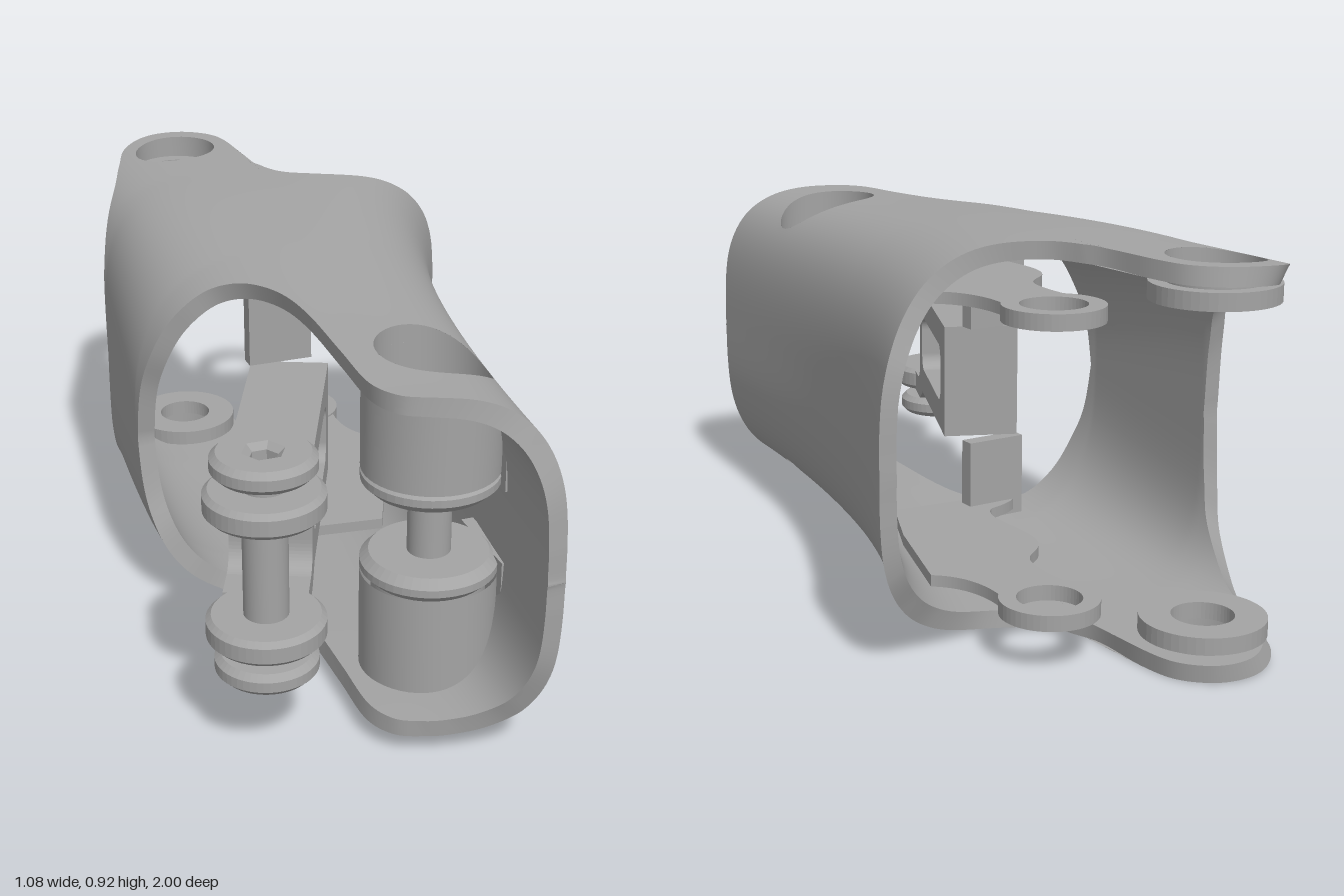
import * as THREE from 'three';
import { mergeGeometries, mergeVertices } from 'three/addons/utils/BufferGeometryUtils.js';

const YC = 0.4575; // mirror plane between upper and lower halves
const WALL = 0.042;
const clamp = THREE.MathUtils.clamp;
const HOLES = [[0, 0.63, 0.13], [-0.155, -0.84, 0.11]]; // x, z, radius

// Matching stations on the front and back rims: [frontX, frontZ, backX, backZ]
const STATIONS = [
  [-0.51, 0.02, -0.45, -0.52], [-0.503, 0.045, -0.447, -0.535], [-0.48, 0.075, -0.43, -0.57],
  [-0.42, 0.097, -0.37, -0.7], [-0.33, 0.12, -0.32, -0.83], [-0.26, 0.18, -0.28, -0.93],
  [-0.215, 0.28, -0.22, -0.985], [-0.2, 0.4, -0.15, -1], [-0.2, 0.6, -0.07, -0.975],
  [-0.2, 0.76, -0.015, -0.91], [-0.17, 0.83, 0, -0.82], [-0.1, 0.87, 0, -0.65],
  [-0.02, 0.895, 0.04, -0.54], [0.05, 0.92, 0.12, -0.485], [0.1, 0.95, 0.22, -0.47],
  [0.14, 0.985, 0.36, -0.505], [0.15, 0.995, 0.45, -0.55], [0.154, 0.999, 0.515, -0.592],
  [0.155, 1, 0.54, -0.605],
];

// Sleeve cross-section at depth z: centre, half width, half height, side exponents
function section(z, off) {
  const t = clamp((1 - z) / 1.6, 0, 1);
  const xr = 0.15 + 0.165 * t + 0.225 * t ** 3;
  const back = clamp(-z / 0.52, 0, 1);
  const xl = -0.51 + 0.06 * back;
  const h = 0.41 + 0.0475 * THREE.MathUtils.smoothstep(0.9 - z, 0, 1.4);
  return {
    c: (xl + xr) / 2, w: (xr - xl) / 2 - off, h: h - off,
    left: 2.8 + 1.4 * back, right: 3.5 - 0.4 * t,
  };
}
function heightAt(x, z, off) {
  const s = section(z, off), q = clamp((x - s.c) / s.w, -1, 1), n = q < 0 ? s.left : s.right;
  return s.h * (1 - Math.abs(q) ** n) ** (1 / n);
}
function angleAt(x, z) {
  const s = section(z, 0);
  return Math.atan2(heightAt(x, z, 0) / s.h, clamp((x - s.c) / s.w, -1, 1));
}
function pointAt(a, z, off) {
  const s = section(z, off), cs = Math.cos(a), sn = Math.sin(a), n = cs < 0 ? s.left : s.right;
  const r = (Math.abs(cs) ** n + Math.abs(sn) ** n) ** (-1 / n);
  return [s.c + s.w * r * cs, s.h * r * sn, z];
}

function buildGeometry(positions, index) {
  const g = new THREE.BufferGeometry();
  g.setAttribute('position', new THREE.Float32BufferAttribute(positions, 3));
  g.setIndex(index);
  return g;
}

const rim = (k) => new THREE.CatmullRomCurve3(
  STATIONS.map((s) => new THREE.Vector3(angleAt(s[k], s[k + 1]), s[k + 1], 0)), false, 'centripetal');
const FRONT = rim(0), BACK = rim(2);
const NS = 126, NT = 70;

// Grid point on the sleeve, i across and j from front to back
function gridPoint(i, j, off) {
  const f = FRONT.getPoint(i / NS), b = BACK.getPoint(i / NS), t = j / NT;
  return pointAt(clamp(f.x + (b.x - f.x) * t, 0, Math.PI), f.y + (b.y - f.y) * t, off);
}

// One skin of the sleeve half, with the round holes cut out
function skin(side, off) {
  const pos = [], idx = [], inside = [];
  for (let i = 0; i <= NS; i++) for (let j = 0; j <= NT; j++) {
    let [x, y, z] = gridPoint(i, j, off), hit = 0;
    HOLES.forEach(([hx, hz, r], k) => {
      const d = Math.hypot(x - hx, z - hz);
      if (d < r && d > 1e-6) {
        x = hx + (x - hx) * r / d;
        z = hz + (z - hz) * r / d;
        y = heightAt(x, z, off);
        hit = k + 1;
      }
    });
    inside.push(hit);
    pos.push(x, YC + side * y, z);
  }
  const flip = (side < 0) !== (off > 0);
  const tri = (a, b, c) => {
    if (inside[a] && inside[b] && inside[c]) return;
    idx.push(a, flip ? c : b, flip ? b : c);
  };
  for (let i = 0; i < NS; i++) for (let j = 0; j < NT; j++) {
    const a = i * (NT + 1) + j, b = a + NT + 1;
    tri(a, b, b + 1);
    tri(a, b + 1, a + 1);
  }
  return buildGeometry(pos, idx);
}

// Strip joining outer and inner skin along a rim
function rimStrip(side, j) {
  const pos = [], idx = [];
  for (let i = 0; i <= NS; i++) for (const off of [0, WALL]) {
    const [x, y, z] = gridPoint(i, j, off);
    pos.push(x, YC + side * y, z);
  }
  const flip = (side < 0) !== (j > 0);
  for (let i = 0; i < NS; i++) {
    const a = i * 2;
    if (flip) idx.push(a, a + 2, a + 1, a + 1, a + 2, a + 3);
    else idx.push(a, a + 1, a + 2, a + 1, a + 3, a + 2);
  }
  return buildGeometry(pos, idx);
}
function joined(parts) {
  const g = mergeVertices(mergeGeometries(parts), 1e-4);
  g.computeVertexNormals();
  return g;
}

// Round wall from a flat floor up to the sleeve surface
function roundWall(side, [hx, hz, r], floor, off) {
  const pos = [], idx = [], n = 48;
  for (let i = 0; i <= n; i++) {
    const a = i / n * Math.PI * 2, x = hx + r * Math.cos(a), z = hz + r * Math.sin(a);
    pos.push(x, YC + side * floor, z, x, YC + side * heightAt(x, z, off), z);
    if (i < n) {
      const k = i * 2;
      if (side > 0) idx.push(k, k + 2, k + 1, k + 1, k + 2, k + 3);
      else idx.push(k, k + 1, k + 2, k + 1, k + 3, k + 2);
    }
  }
  const g = buildGeometry(pos, idx);
  g.computeVertexNormals();
  return g;
}

// Flat part drawn in plan (x, z), between two heights measured from the mirror plane
function plate(shape, y0, y1, bevel = 0) {
  const g = new THREE.ExtrudeGeometry(shape, {
    depth: y1 - y0 - 2 * bevel, bevelEnabled: bevel > 0, bevelSize: bevel,
    bevelThickness: bevel, bevelOffset: -bevel, bevelSegments: 1, curveSegments: 24,
  });
  return g.rotateX(Math.PI / 2).translate(0, YC + y1 - bevel, 0);
}
function disc(x, z, r, hole, sides) {
  const s = new THREE.Shape().absarc(x, z, r, 0, Math.PI * 2);
  if (sides) {
    s.holes.push(new THREE.Path(Array.from({ length: sides }, (_, i) => {
      const a = -i / sides * Math.PI * 2;
      return new THREE.Vector2(x + hole * Math.cos(a), z + hole * Math.sin(a));
    })));
  } else if (hole) s.holes.push(new THREE.Path().absarc(x, z, hole, 0, Math.PI * 2, true));
  return s;
}

export function createModel() {
  const model = new THREE.Group();
  const grey = new THREE.MeshStandardMaterial({ color: 0xa4a4a4, side: THREE.DoubleSide });
  grey.name = 'grey';
  const add = (name, geometry, parent = model) => {
    const m = new THREE.Mesh(geometry, grey);
    m.name = name;
    parent.add(m);
  };
  const mirrored = (name, shape, y0, y1, bevel) => {
    add('upper' + name, plate(shape, y0, y1, bevel));
    add('lower' + name, plate(shape, -y1, -y0, bevel));
  };

  // Tapered sleeve
  add('sleeveOuter', joined([skin(1, 0), skin(-1, 0)]));
  add('sleeveInner', joined([skin(1, WALL), skin(-1, WALL)]));
  add('frontRim', joined([rimStrip(1, 0), rimStrip(-1, 0)]));
  add('backRim', joined([rimStrip(1, NT), rimStrip(-1, NT)]));

  // Hollow screw bosses, webs to the side wall, lobe recesses and inner end panels
  for (const side of [1, -1]) {
    add('bossRecess', roundWall(side, HOLES[0], 0.14, 0));
    add('bossWall', roundWall(side, [0, 0.63, 0.157], 0.13, 0.02));
    add('bossWeb', new THREE.BoxGeometry(0.03, 0.13, 0.22).translate(0.145, YC + side * 0.155, 0.63));
    add('lobeRecess', roundWall(side, HOLES[1], 0.39, 0));
    add('innerPanel', new THREE.BoxGeometry(0.16, 0.21, 0.04).translate(-0.14, YC + side * 0.255, 0));
  }
  mirrored('BossFloor', disc(0, 0.63, 0.157, 0), 0.082, 0.14, 0.02);
  mirrored('BossScrewHead', disc(0, 0.63, 0.12, 0.052, 6), 0.14, 0.18);
  add('bossPin', new THREE.CylinderGeometry(0.05, 0.05, 0.2, 32).translate(0, YC, 0.63));

  // Back lobes: stepped seat rings below the recess
  mirrored('LobeSeat', disc(-0.155, -0.84, 0.145, 0.072), 0.36, 0.4);

  // Inner plates along the right side, with an eyelet tab reaching out at the back
  mirrored('TabEyelet', disc(0.145, -0.67, 0.115, 0.075), 0.315, 0.352);
  const tab = new THREE.Shape();
  tab.moveTo(0.05, -0.6);
  tab.bezierCurveTo(0.06, -0.42, 0.03, -0.42, -0.02, -0.38);
  tab.bezierCurveTo(-0.12, -0.3, -0.02, -0.12, -0.1, -0.06);
  tab.quadraticCurveTo(-0.2, -0.04, -0.22, 0.02);
  tab.lineTo(0.12, 0.06);
  tab.lineTo(0.2, -0.12);
  tab.lineTo(0.29, -0.4);
  tab.quadraticCurveTo(0.21, -0.46, 0.225, -0.59);
  tab.quadraticCurveTo(0.145, -0.53, 0.05, -0.6);
  mirrored('InnerPlate', tab, 0.32, 0.348);

  // Forked link, drawn from the side and extruded across its width
  const link = new THREE.Group();
  link.name = 'forkLink';
  link.position.set(-0.41, YC, 0.7);
  link.rotation.y = 1.15;
  model.add(link);
  const fork = new THREE.Shape();
  fork.moveTo(0.08, 0.18);
  fork.lineTo(0.2, 0.18);
  fork.lineTo(0.27, 0.145);
  fork.lineTo(0.74, 0.145);
  fork.lineTo(0.74, -0.145);
  fork.lineTo(0.27, -0.145);
  fork.lineTo(0.2, -0.18);
  fork.lineTo(0.08, -0.18);
  fork.lineTo(0.08, -0.125);
  fork.lineTo(0.16, -0.125);
  fork.quadraticCurveTo(0.21, -0.12, 0.21, -0.06);
  fork.lineTo(0.21, 0.06);
  fork.quadraticCurveTo(0.21, 0.12, 0.16, 0.125);
  fork.lineTo(0.08, 0.125);
  const slot = new THREE.Path();
  slot.absarc(0.3, 0.035, 0.04, Math.PI / 2, Math.PI);
  slot.absarc(0.3, -0.035, 0.04, Math.PI, Math.PI * 1.5);
  slot.absarc(0.62, -0.035, 0.04, -Math.PI / 2, 0);
  slot.absarc(0.62, 0.035, 0.04, 0, Math.PI / 2);
  fork.holes.push(slot);
  add('forkBody', new THREE.ExtrudeGeometry(fork, { depth: 0.19, bevelEnabled: false })
    .translate(0, 0, -0.105), link);

  // Fork ears, cross pin and hex bolt heads
  mirrored('ForkEar', disc(-0.41, 0.7, 0.132, 0), 0.122, 0.182, 0.012);
  mirrored('BoltHead', disc(-0.41, 0.7, 0.115, 0.032, 6), 0.215, 0.267, 0.014);
  add('forkPin', new THREE.CylinderGeometry(0.05, 0.05, 0.46, 32).translate(-0.41, YC, 0.7));
  return model;
}
